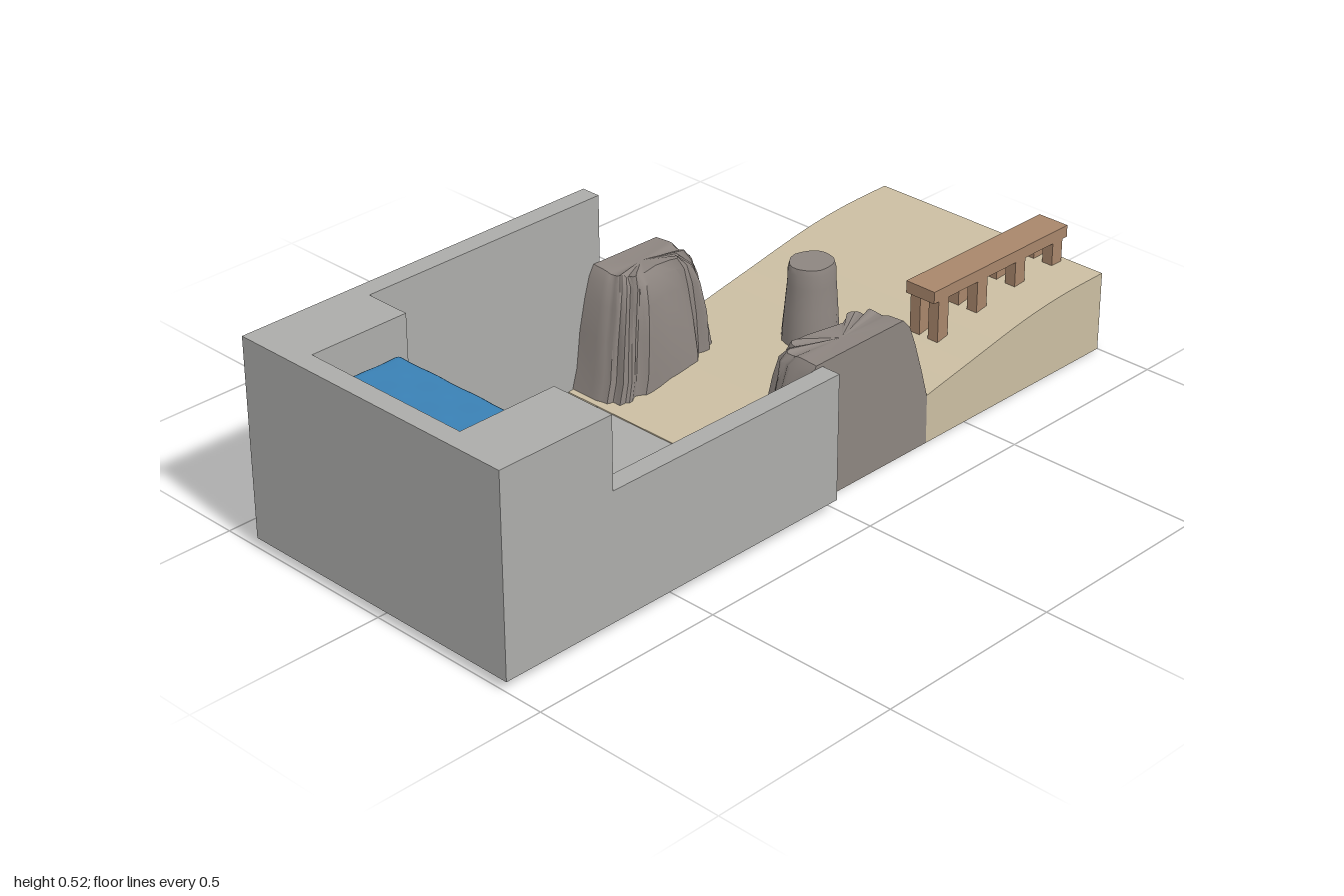
import * as THREE from 'three';
import { mergeVertices, toCreasedNormals } from 'three/addons/utils/BufferGeometryUtils.js';

const mat = (name, color) => {
  const m = new THREE.MeshStandardMaterial({ color });
  m.name = name;
  return m;
};

export function createModel() {
  const concrete = mat('concrete grey', 0xacacaa);
  const sandMat = mat('sand', 0xcbbea2);
  const rockMat = mat('rock grey', 0x8d8580);
  const water = mat('water blue', 0x3a81b5);
  const wood = mat('wood brown', 0xa8866b);

  const model = new THREE.Group();
  const add = (name, geometry, material, parent = model) => {
    const mesh = new THREE.Mesh(geometry, material);
    mesh.name = name;
    parent.add(mesh);
    return mesh;
  };
  const group = (name) => {
    const g = new THREE.Group();
    g.name = name;
    model.add(g);
    return g;
  };
  // Box given by its two extreme corners
  const box = (name, [x0, y0, z0], [x1, y1, z1], material, parent) =>
    add(name, new THREE.BoxGeometry(x1 - x0, y1 - y0, z1 - z0), material, parent)
      .position.set((x0 + x1) / 2, (y0 + y1) / 2, (z0 + z1) / 2);

  // Concrete basin: floor, walls, corner columns and their feet
  const basin = group('basin');
  box('basinFloor', [-0.95, 0.025, -0.35], [0, 0.05, 0.35], concrete, basin);
  box('endWall', [-1, 0.025, -0.4], [-0.95, 0.525, 0.4], concrete, basin);
  box('backWall', [-0.95, 0.025, -0.4], [0, 0.525, -0.35], concrete, basin);
  box('frontWall', [-0.69, 0.025, 0.35], [0, 0.345, 0.4], concrete, basin);
  box('frontColumn', [-0.95, 0.025, 0.23], [-0.69, 0.525, 0.4], concrete, basin);
  box('backColumn', [-0.95, 0.025, -0.35], [-0.69, 0.525, -0.23], concrete, basin);
  box('frontFoot', [-0.95, 0, 0.23], [-0.69, 0.025, 0.35], concrete, basin);
  box('backFoot', [-0.95, 0, -0.35], [-0.69, 0.025, -0.23], concrete, basin);

  // Water block with rounded edges and a faint ripple
  const size = new THREE.Vector3(0.22, 0.4, 0.43), radius = 0.015;
  let waterGeo = new THREE.BoxGeometry(size.x, size.y, size.z, 22, 40, 42);
  waterGeo.deleteAttribute('uv');
  waterGeo.deleteAttribute('normal');
  waterGeo = mergeVertices(waterGeo);
  const inner = size.clone().multiplyScalar(0.5).subScalar(radius);
  const p = new THREE.Vector3(), core = new THREE.Vector3();
  const wp = waterGeo.attributes.position;
  for (let i = 0; i < wp.count; i++) {
    p.fromBufferAttribute(wp, i);
    core.copy(p).clamp(inner.clone().negate(), inner);
    const ripple = 0.0008 * Math.sin(55 * p.x + 40 * p.y) * Math.sin(48 * p.z + 30 * p.y);
    p.sub(core).setLength(radius + ripple).add(core);
    wp.setXYZ(i, p.x, p.y, p.z);
  }
  waterGeo.computeVertexNormals();
  add('waterBlock', waterGeo, water).position.set(-0.84, 0.25, 0.002);

  // Sand bank: rising dune profile extruded across the width
  const dune = new THREE.Shape();
  dune.moveTo(-0.11, 0);
  dune.lineTo(1, 0);
  dune.lineTo(1, 0.206);
  dune.splineThru([
    [0.85, 0.203], [0.7, 0.188], [0.5, 0.152], [0.36, 0.126],
    [0.25, 0.104], [0.1, 0.075], [-0.11, 0.053],
  ].map(([x, y]) => new THREE.Vector2(x, y)));
  dune.closePath();
  const duneGeo = new THREE.ExtrudeGeometry(dune, { depth: 0.696, bevelEnabled: false, curveSegments: 6 });
  duneGeo.translate(0, 0, -0.348);
  add('sandBank', toCreasedNormals(duneGeo, 0.5), sandMat);

  // Rock: stacked fluted outlines with one flat outer side
  // level = [height, left x, right x, depth from the outer side]
  const rock = (name, levels, side, seed) => {
    const N = 36, pos = [], idx = [];
    levels.forEach(([y, x0, x1, d], j) => {
      const k = j / (levels.length - 1);
      for (let i = 0; i <= N; i++) {
        const u = (Math.PI * i) / N, c = Math.cos(u), s = Math.sin(u);
        const flute = 0.006 * s * (Math.sin(i * 1.7 + seed) + Math.sin(i * 0.8 + 5 * k + seed));
        const x = (x0 + x1) / 2 - ((x1 - x0) / 2) * Math.sign(c) * Math.abs(c) ** 0.4;
        const z = 0.3495 - d * Math.abs(s) ** 0.4 + flute;
        const bump = k > 0.8 ? 0.004 * Math.sin(i * 0.9 + seed) : 0;
        pos.push(x + flute * c, y + bump, side * z);
      }
    });
    const M = N + 1, last = (levels.length - 1) * M;
    const tri = (a, b, c) => (side > 0 ? idx.push(a, b, c) : idx.push(a, c, b));
    for (let j = 0; j < levels.length - 1; j++) {
      for (let i = 0; i < M; i++) {
        const a = j * M + i, b = j * M + ((i + 1) % M);
        tri(a, a + M, b);
        tri(b, a + M, b + M);
      }
    }
    const [y, x0, x1, d] = levels[levels.length - 1];
    pos.push((x0 + x1) / 2, y - 0.004, side * (0.35 - d / 2));
    for (let i = 0; i < M; i++) tri(last + ((i + 1) % M), last + i, last + M);
    const geo = new THREE.BufferGeometry();
    geo.setAttribute('position', new THREE.Float32BufferAttribute(pos, 3));
    geo.setIndex(idx);
    add(name, toCreasedNormals(geo, 0.7), rockMat);
  };
  rock('frontRock', [
    [0.002, -0.11, 0.362, 0.155], [0.125, -0.08, 0.36, 0.152], [0.2, -0.065, 0.338, 0.142],
    [0.28, -0.045, 0.312, 0.134], [0.33, -0.035, 0.292, 0.127], [0.352, -0.02, 0.268, 0.112],
  ], 1, 0.4);
  rock('backRock', [
    [0.002, -0.11, 0.25, 0.155], [0.105, -0.08, 0.25, 0.15], [0.2, -0.068, 0.238, 0.145],
    [0.28, -0.05, 0.222, 0.135], [0.33, -0.035, 0.205, 0.125], [0.352, -0.02, 0.185, 0.108],
  ], -1, 2.1);

  // Free-standing stone stump
  const stump = new THREE.LatheGeometry([
    [0.074, 0.08], [0.071, 0.15], [0.066, 0.21], [0.061, 0.27], [0.06, 0.305], [0.056, 0.32], [0, 0.32],
  ].map(([x, y]) => new THREE.Vector2(x, y)), 18);
  const sp = stump.attributes.position;
  for (let i = 0; i < sp.count; i++) {
    const a = Math.atan2(sp.getZ(i), sp.getX(i));
    const f = 1 + 0.025 * Math.sin(5 * a + 12 * sp.getY(i));
    sp.setX(i, sp.getX(i) * f);
    sp.setZ(i, sp.getZ(i) * f * 0.92);
  }
  add('stoneStump', toCreasedNormals(stump, 0.7), rockMat).position.set(0.396, 0, -0.046);

  // Wooden walkway on pairs of posts
  const walkway = group('walkway');
  box('walkwayDeck', [0.51, 0.265, 0.15], [1, 0.296, 0.236], wood, walkway);
  for (let i = 0; i < 4; i++) {
    const x = 0.527 + i * 0.14;
    for (const z of [0.15, 0.206]) {
      box('walkwayPost', [x, 0.1, z], [x + 0.036, 0.265, z + 0.03], wood, walkway);
    }
  }
  return model;
}
